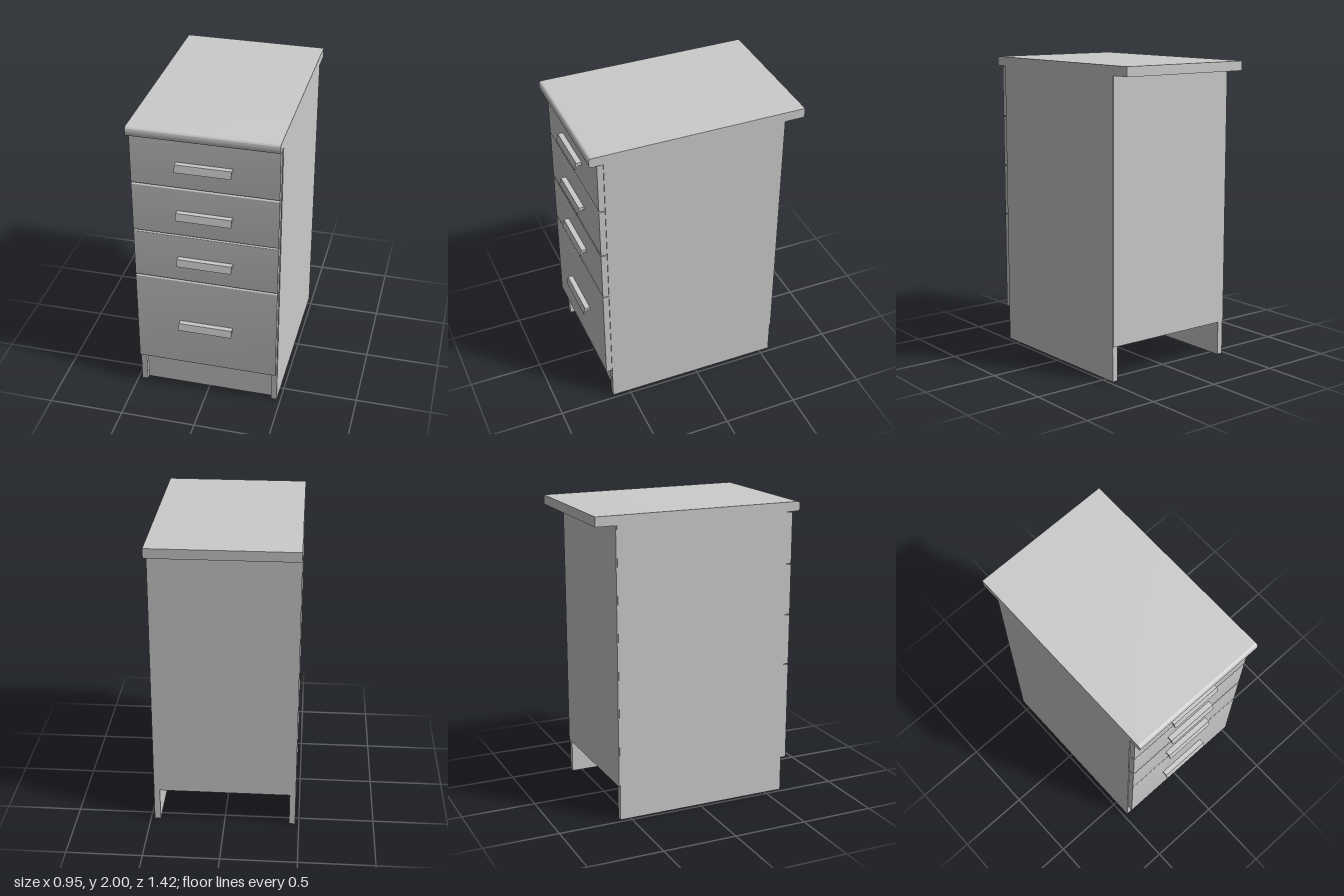
import * as THREE from 'three';
import { toCreasedNormals } from 'three/addons/utils/BufferGeometryUtils.js';

const material = new THREE.MeshStandardMaterial({ color: 0xcccccc });

export function createModel() {
  const cabinet = new THREE.Group();
  cabinet.name = 'drawerCabinet';

  const add = (name, geometry, parent = cabinet) => {
    const mesh = new THREE.Mesh(geometry, material);
    mesh.name = name;
    parent.add(mesh);
    return mesh;
  };

  // Box given by its limits on each axis
  const panel = (name, [x0, x1], [y0, y1], [z0, z1]) =>
    add(name, new THREE.BoxGeometry(x1 - x0, y1 - y0, z1 - z0))
      .position.set((x0 + x1) / 2, (y0 + y1) / 2, (z0 + z1) / 2);

  // Side profile drawn in (z, y), run across the width and centred on x
  const acrossWidth = (shape, width) => {
    const geometry = new THREE.ExtrudeGeometry(shape, { depth: width, bevelEnabled: false, curveSegments: 6 });
    geometry.translate(0, 0, -width / 2).rotateY(-Math.PI / 2);
    return toCreasedNormals(geometry, 0.6);
  };

  // Board profile with its two front edges rounded
  const boardProfile = (z0, z1, y0, y1, r) => {
    const s = new THREE.Shape();
    s.moveTo(z0, y0);
    s.lineTo(z1 - r, y0);
    s.absarc(z1 - r, y0 + r, r, -Math.PI / 2, 0);
    s.lineTo(z1, y1 - r);
    s.absarc(z1 - r, y1 - r, r, 0, Math.PI / 2);
    s.lineTo(z0, y1);
    s.closePath();
    return s;
  };

  // Carcass: two full-height sides, floor, recessed plinth and thin back
  panel('leftSide', [0.435, 0.475], [0, 1.937], [-0.57, 0.62]);
  panel('rightSide', [-0.475, -0.435], [0, 1.937], [-0.57, 0.62]);
  panel('floorPanel', [-0.435, 0.435], [0.23, 0.27], [-0.57, 0.62]);
  panel('plinth', [-0.435, 0.435], [0, 0.23], [0.55, 0.59]);
  panel('backPanel', [-0.473, 0.473], [0.23, 1.937], [-0.577, -0.57]);

  // Worktop with rounded front edge
  add('worktop', acrossWidth(boardProfile(-0.71, 0.71, 1.937, 2, 0.02), 0.95));

  // Bent pull: flat top with a lip sloping forward and down
  const handleProfile = new THREE.Shape([
    [0, 0.003], [0.026, 0.003], [0.041, -0.024], [0.047, -0.024], [0.034, 0.024], [0, 0.024],
  ].map(([z, y]) => new THREE.Vector2(z, y)));
  const handleGeometry = acrossWidth(handleProfile, 0.356);

  // Drawers, bottom to top: [lower edge, upper edge]
  const drawers = [[0.234, 0.9], [0.906, 1.244], [1.25, 1.588], [1.594, 1.932]];
  drawers.forEach(([y0, y1], i) => {
    const drawer = new THREE.Group();
    drawer.name = `drawer${i + 1}`;
    cabinet.add(drawer);
    add('drawerFront', acrossWidth(boardProfile(0.62, 0.66, y0, y1, 0.006), 0.938), drawer);
    add('handle', handleGeometry, drawer).position.set(0, (y0 + y1) / 2 - 0.012, 0.66);
  });

  return cabinet;
}
